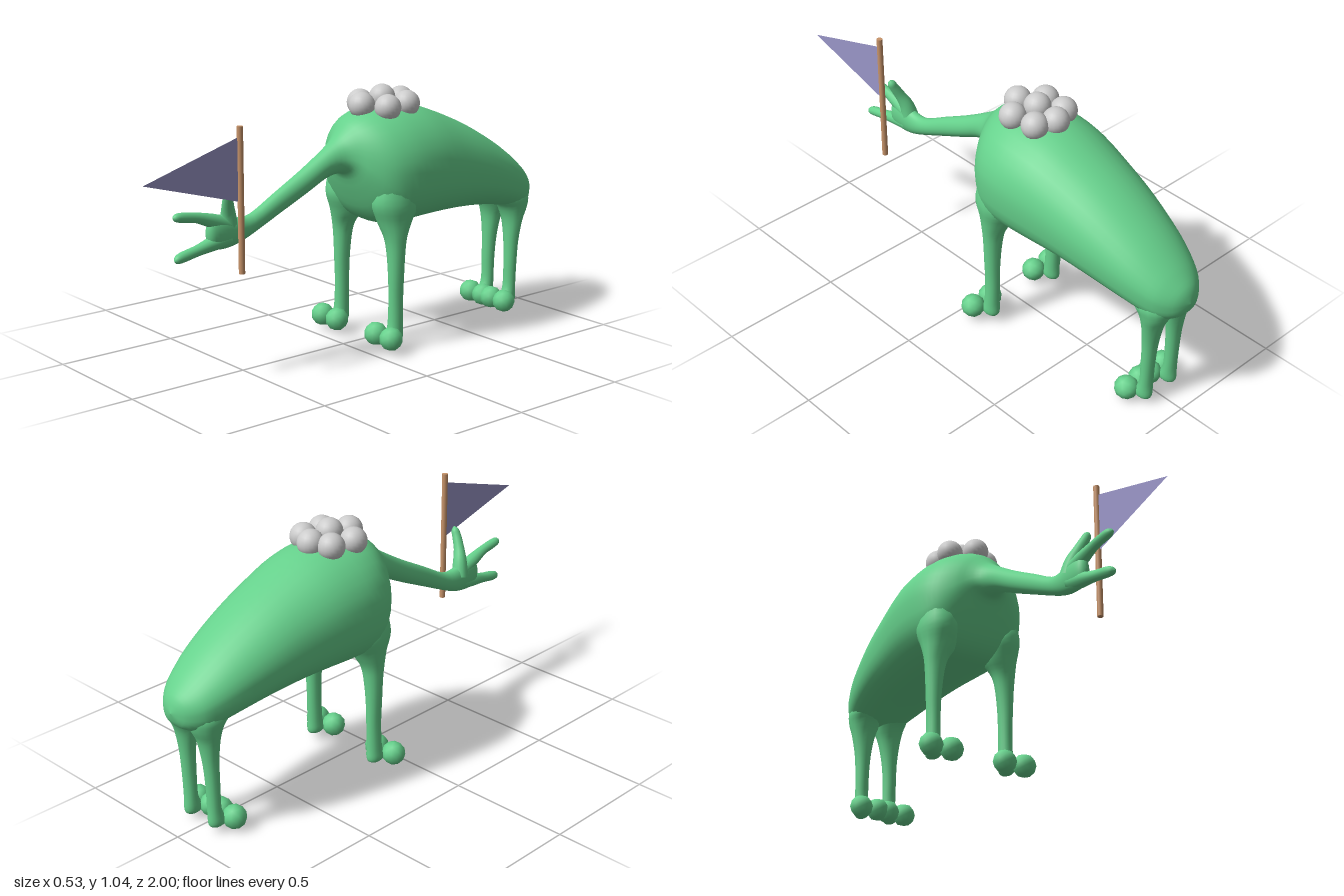
import * as THREE from 'three';

const green = new THREE.MeshStandardMaterial({ color: 0x66d18c });
const grey = new THREE.MeshStandardMaterial({ color: 0xcccccc });
const wood = new THREE.MeshStandardMaterial({ color: 0xc8946a });
const cloth = new THREE.MeshStandardMaterial({ color: 0x9a96c8, side: THREE.DoubleSide });

// Catmull-Rom through rows of numbers
function smooth(rows, steps) {
  const out = [];
  const at = (i) => rows[Math.min(Math.max(i, 0), rows.length - 1)];
  for (let i = 0; i < rows.length - 1; i++) {
    for (let s = 0; s < steps; s++) {
      const t = s / steps;
      out.push(rows[i].map((b, k) => {
        const a = at(i - 1)[k], c = at(i + 1)[k], d = at(i + 2)[k];
        return 0.5 * (2 * b + (c - a) * t + (2 * a - 5 * b + 4 * c - d) * t * t + (3 * b - a - 3 * c + d) * t ** 3);
      }));
    }
  }
  out.push(rows[rows.length - 1]);
  return out;
}

// Skin over closed rings: ringPoint(row, angle, index) -> [x, y, z]
function loft(rows, sides, ringPoint) {
  const pos = [], index = [];
  rows.forEach((row, i) => {
    for (let j = 0; j < sides; j++) {
      pos.push(...ringPoint(row, (j / sides) * Math.PI * 2, i));
      if (i === rows.length - 1) continue;
      const a = i * sides + j, b = i * sides + (j + 1) % sides;
      index.push(a, b, b + sides, a, b + sides, a + sides);
    }
  });
  const g = new THREE.BufferGeometry();
  g.setAttribute('position', new THREE.Float32BufferAttribute(pos, 3));
  g.setIndex(index);
  g.computeVertexNormals();
  return g;
}

// Tapered round limb through [x, y, z, radius] rows
function limb(points) {
  const rows = smooth(points, 4);
  const T = new THREE.Vector3(), u = new THREE.Vector3(), v = new THREE.Vector3();
  return loft(rows, 12, ([x, y, z, r], a, i) => {
    const p = rows[Math.max(i - 1, 0)], q = rows[Math.min(i + 1, rows.length - 1)];
    T.set(q[0] - p[0], q[1] - p[1], q[2] - p[2]).normalize();
    u.set(1, 0, 0).addScaledVector(T, -T.x).normalize();
    v.crossVectors(T, u);
    const c = Math.max(r, 0) * Math.cos(a), s = Math.max(r, 0) * Math.sin(a);
    return [x + u.x * c + v.x * s, y + u.y * c + v.y * s, z + u.z * c + v.z * s];
  });
}

// Leg from [y, xInner, xOuter, zBack, zFront] rows, bottom to top
function legGeometry(rows, side) {
  return loft(smooth(rows, 4), 16, ([y, x0, x1, z0, z1], a) => [
    side * (x0 + x1) / 2 + Math.cos(a) * (x1 - x0) / 2, y,
    (z0 + z1) / 2 - Math.sin(a) * (z1 - z0) / 2]);
}

export function createModel() {
  const model = new THREE.Group();
  const add = (name, geometry, material, x = 0, y = 0, z = 0) => {
    const mesh = new THREE.Mesh(geometry, material);
    mesh.name = name;
    mesh.position.set(x, y, z);
    model.add(mesh);
    return mesh;
  };

  // Body running into the arm and palm: [z, bottom, widest height, top, half width]
  const body = [
    [-1, 0.52, 0.52, 0.52, 0], [-0.985, 0.47, 0.52, 0.57, 0.055], [-0.95, 0.445, 0.53, 0.61, 0.1],
    [-0.9, 0.44, 0.55, 0.655, 0.133], [-0.8, 0.465, 0.59, 0.73, 0.168], [-0.65, 0.49, 0.64, 0.82, 0.2],
    [-0.5, 0.5, 0.68, 0.89, 0.222], [-0.35, 0.5, 0.71, 0.945, 0.243], [-0.22, 0.495, 0.72, 0.96, 0.248],
    [-0.13, 0.495, 0.72, 0.955, 0.232], [-0.07, 0.54, 0.72, 0.94, 0.2], [-0.025, 0.63, 0.74, 0.915, 0.15],
    [0.005, 0.7, 0.77, 0.885, 0.1], [0.04, 0.712, 0.775, 0.85, 0.065], [0.1, 0.7, 0.755, 0.81, 0.047],
    [0.2, 0.652, 0.7, 0.75, 0.04], [0.33, 0.592, 0.635, 0.68, 0.033], [0.45, 0.537, 0.577, 0.615, 0.03],
    [0.52, 0.51, 0.56, 0.612, 0.032], [0.58, 0.5, 0.565, 0.632, 0.033], [0.63, 0.505, 0.565, 0.625, 0.028],
    [0.65, 0.53, 0.565, 0.6, 0.015], [0.655, 0.565, 0.565, 0.565, 0],
  ];
  add('bodyAndArm', loft(smooth(body, 3), 32, ([z, lo, mid, hi, w], a) => {
    const c = Math.cos(a), s = Math.sin(a);
    const k = 0.25 * THREE.MathUtils.clamp(-z * 8, 0, 1); // fuller belly
    const p = s < 0 ? 1 - k : 1;
    return [w * Math.sign(c) * Math.abs(c) ** p,
      mid + (s > 0 ? (hi - mid) * s : -(mid - lo) * Math.abs(s) ** p), z];
  }), green);

  // Fingers and thumb
  add('upperFinger', limb([[0, 0.59, 0.56, 0.03], [0, 0.615, 0.63, 0.027], [0.003, 0.638, 0.7, 0.02],
    [0.005, 0.65, 0.77, 0.019], [0.007, 0.653, 0.798, 0.013], [0.007, 0.654, 0.808, 0]]), green);
  add('lowerFinger', limb([[0, 0.54, 0.56, 0.032], [0, 0.527, 0.63, 0.028], [0.003, 0.513, 0.7, 0.021],
    [0.006, 0.5, 0.77, 0.02], [0.01, 0.494, 0.798, 0.014], [0.01, 0.492, 0.808, 0]]), green);
  add('thumb', limb([[-0.005, 0.57, 0.55, 0.036], [0.005, 0.63, 0.56, 0.029], [0.025, 0.68, 0.575, 0.022],
    [0.048, 0.725, 0.585, 0.019], [0.06, 0.75, 0.587, 0.015], [0.066, 0.764, 0.588, 0]]), green);

  // Legs with a rounded heel and two toes each
  const frontLeg = [
    [0.035, 0.17, 0.17, -0.13, -0.13], [0.038, 0.15, 0.19, -0.155, -0.105], [0.055, 0.138, 0.2, -0.164, -0.085],
    [0.1, 0.139, 0.198, -0.162, -0.098], [0.2, 0.14, 0.196, -0.163, -0.102], [0.3, 0.137, 0.2, -0.165, -0.1],
    [0.4, 0.126, 0.205, -0.17, -0.096], [0.46, 0.11, 0.21, -0.18, -0.088], [0.52, 0.075, 0.217, -0.21, -0.07],
    [0.6, 0.06, 0.228, -0.25, -0.045], [0.7, 0.1, 0.21, -0.22, -0.07],
  ];
  const backLeg = [
    [0.022, 0.068, 0.068, -0.87, -0.87], [0.026, 0.05, 0.086, -0.892, -0.845], [0.045, 0.038, 0.098, -0.902, -0.825],
    [0.1, 0.038, 0.095, -0.9, -0.848], [0.2, 0.038, 0.096, -0.903, -0.85], [0.3, 0.031, 0.1, -0.91, -0.85],
    [0.39, 0.014, 0.113, -0.925, -0.845], [0.45, -0.005, 0.125, -0.95, -0.825], [0.5, -0.005, 0.13, -0.955, -0.79],
    [0.56, 0.02, 0.1, -0.92, -0.82],
  ];
  const toe = new THREE.IcosahedronGeometry(0.048, 1);
  for (const [side, label] of [[1, 'Left'], [-1, 'Right']]) {
    add('front' + label + 'Leg', legGeometry(frontLeg, side), green);
    add('back' + label + 'Leg', legGeometry(backLeg, side), green);
    for (const x of [0.123, 0.215]) add('front' + label + 'Toe', toe, green, side * x, 0.063, -0.068);
    for (const x of [0.025, 0.102]) add('back' + label + 'Toe', toe, green, side * x, 0.05, -0.808);
  }

  // Cluster of balls on the back
  const ball = new THREE.SphereGeometry(0.053, 20, 14);
  const balls = [[0, 0.988, -0.2], [0, 0.967, -0.095], [0, 0.97, -0.298]];
  for (const s of [1, -1]) balls.push([s * 0.085, 0.962, -0.157], [s * 0.075, 0.966, -0.264]);
  for (const p of balls) add('backBall', ball, grey, ...p);

  // Flag on its pole
  add('flagPole', new THREE.CylinderGeometry(0.012, 0.012, 0.555, 12), wood, 0.115, 0.705, 0.58);
  const pennant = new THREE.Shape([[0.58, 0.7], [1, 0.82], [0.58, 0.945]].map((p) => new THREE.Vector2(...p)));
  const flag = add('flag', new THREE.ShapeGeometry(pennant), cloth, 0.115, 0, 0);
  flag.rotation.y = -Math.PI / 2;

  return model;
}
